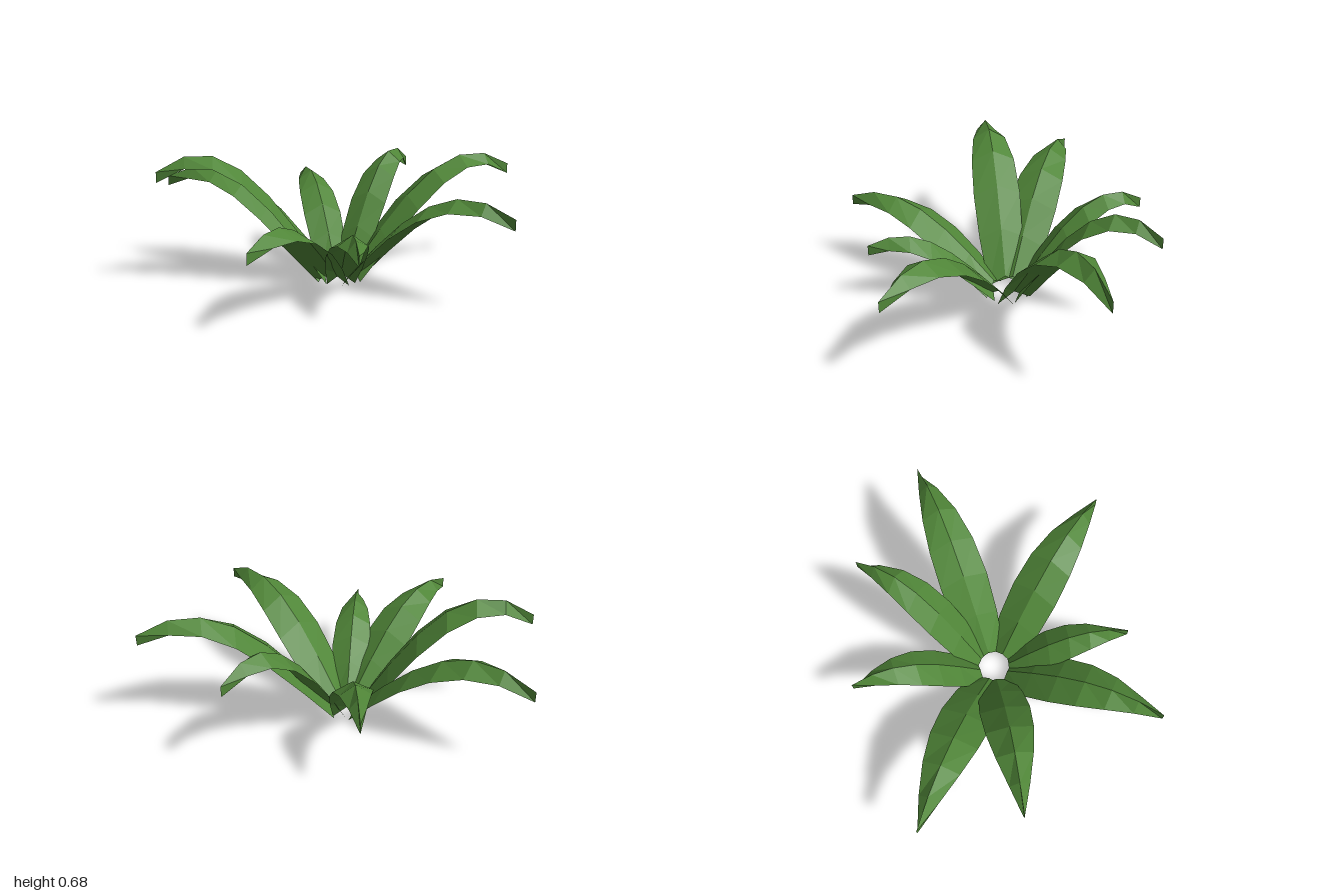
import * as THREE from 'three';

const SEGMENTS = 6;
const RIDGE = 0.055; // height of the midrib above the leaf edges
const CENTRE = new THREE.Vector2(0.035, -0.07);
const RING = 0.08; // radius of the open crown the leaves grow from

// tip x, tip z, arch height, greatest half width
const LEAVES = [
  [1.0, 0.11, 0.48, 0.132],
  [0.73, -0.83, 0.58, 0.132],
  [0.105, -0.88, 0.565, 0.106],
  [-0.475, -0.62, 0.45, 0.106],
  [-1.0, 0.0, 0.5, 0.136],
  [-0.75, 0.44, 0.635, 0.128],
  [0.03, 0.87, 0.39, 0.132],
  [0.41, 0.54, 0.33, 0.104],
];

// A roof-shaped blade: three points per cross-section, arching out to a tip
function leafGeometry(tipX, tipZ, height, halfWidth) {
  const tip = new THREE.Vector2(tipX, tipZ);
  const dir = tip.clone().sub(CENTRE).normalize();
  const base = CENTRE.clone().addScaledVector(dir, RING);
  const positions = [];
  const index = [];

  for (let i = 0; i <= SEGMENTS; i++) {
    const t = i / SEGMENTS;
    const p = base.clone().lerp(tip, t);
    const y = height * Math.sin((t * Math.PI * 2) / 3);
    const w = halfWidth * Math.sin(Math.PI * (0.25 + 0.75 * t));
    positions.push(
      p.x - dir.y * w, y, p.y + dir.x * w,
      p.x, y + RIDGE, p.y,
      p.x + dir.y * w, y, p.y - dir.x * w,
    );
    if (i === SEGMENTS) continue;
    for (let side = 0; side < 2; side++) {
      const a = i * 3 + side;
      index.push(a, a + 3, a + 1, a + 1, a + 3, a + 4);
    }
  }

  const indexed = new THREE.BufferGeometry();
  indexed.setAttribute('position', new THREE.Float32BufferAttribute(positions, 3));
  indexed.setIndex(index);
  const geometry = indexed.toNonIndexed();
  geometry.computeVertexNormals();
  return geometry;
}

export function createModel() {
  const plant = new THREE.Group();
  plant.name = 'plant';

  const leafGreen = new THREE.MeshStandardMaterial({
    color: 0x508638,
    flatShading: true,
    side: THREE.DoubleSide,
  });
  leafGreen.name = 'leaf green';

  LEAVES.forEach((leaf, i) => {
    const mesh = new THREE.Mesh(leafGeometry(...leaf), leafGreen);
    mesh.name = `leaf${i + 1}`;
    plant.add(mesh);
  });
  return plant;
}
